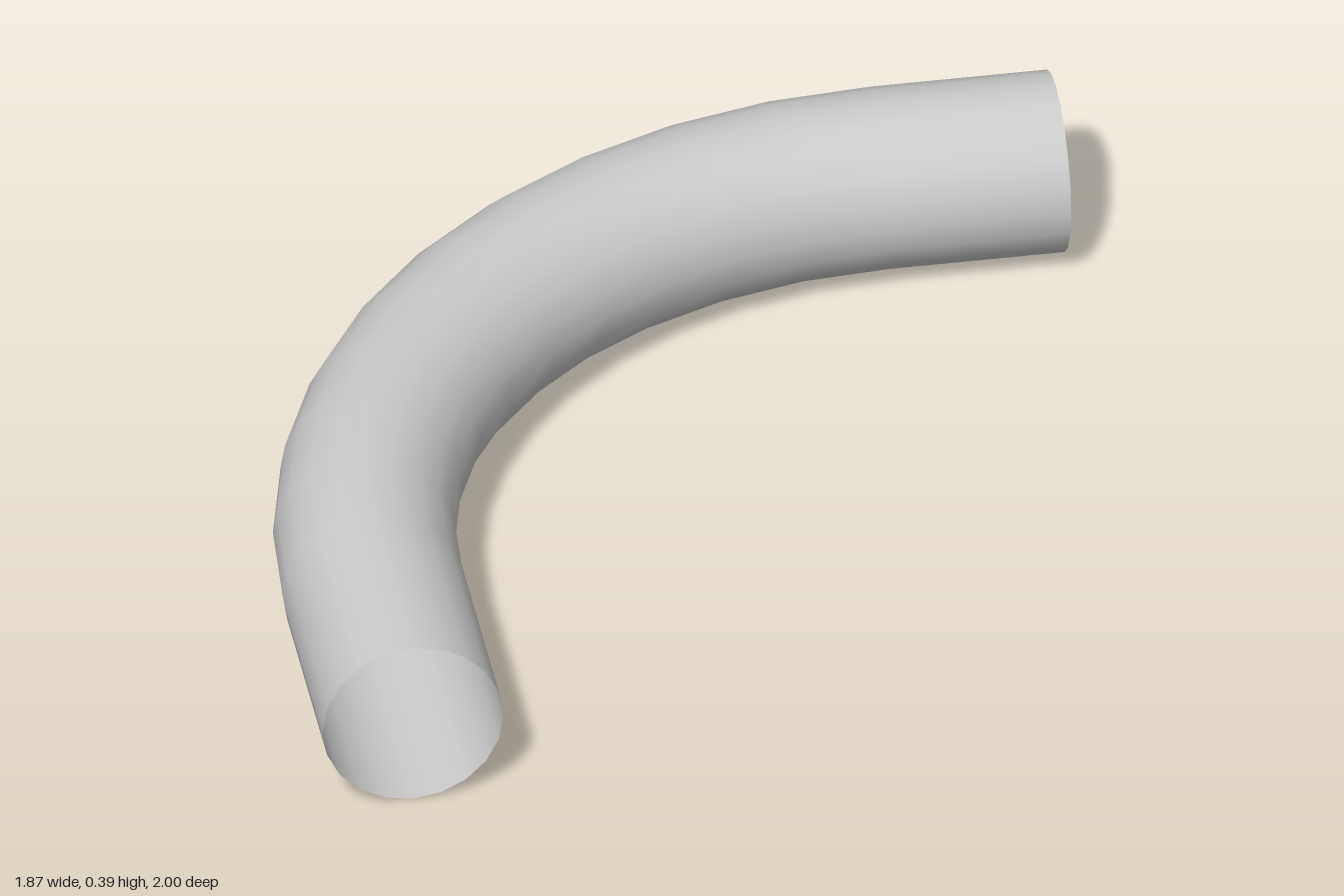
import * as THREE from 'three';

const TUBE = 0.193; // pipe radius
const BEND = 1.3025; // bend radius along the centre line
const CX = 0.56, CZ = 0.495; // centre of the bend
const END_X = 0.935, END_Z = 1; // open ends
const SIDES = 20;

export function createModel() {
  const group = new THREE.Group();
  group.name = 'pipeElbow';
  const material = new THREE.MeshStandardMaterial({ color: 0xcccccc, side: THREE.DoubleSide });

  const add = (name, geometry, x, z) => {
    const mesh = new THREE.Mesh(geometry, material);
    mesh.name = name;
    mesh.position.set(x, TUBE, z);
    group.add(mesh);
  };
  const straight = (length) => new THREE.CylinderGeometry(TUBE, TUBE, length, SIDES, 1, true);

  // Quarter-turn bend, from the back (-z) round to the right (-x)
  const bend = new THREE.TorusGeometry(BEND, TUBE, SIDES, 10, Math.PI / 2);
  bend.rotateX(-Math.PI / 2).rotateY(Math.PI / 2);
  add('bend', bend, CX, CZ);

  // Straight open end facing the front
  const frontLength = END_Z - CZ;
  add('frontEnd', straight(frontLength).rotateX(Math.PI / 2), CX - BEND, CZ + frontLength / 2);

  // Straight open end facing left (+x)
  const sideLength = END_X - CX;
  add('sideEnd', straight(sideLength).rotateZ(Math.PI / 2), CX + sideLength / 2, CZ - BEND);

  return group;
}
